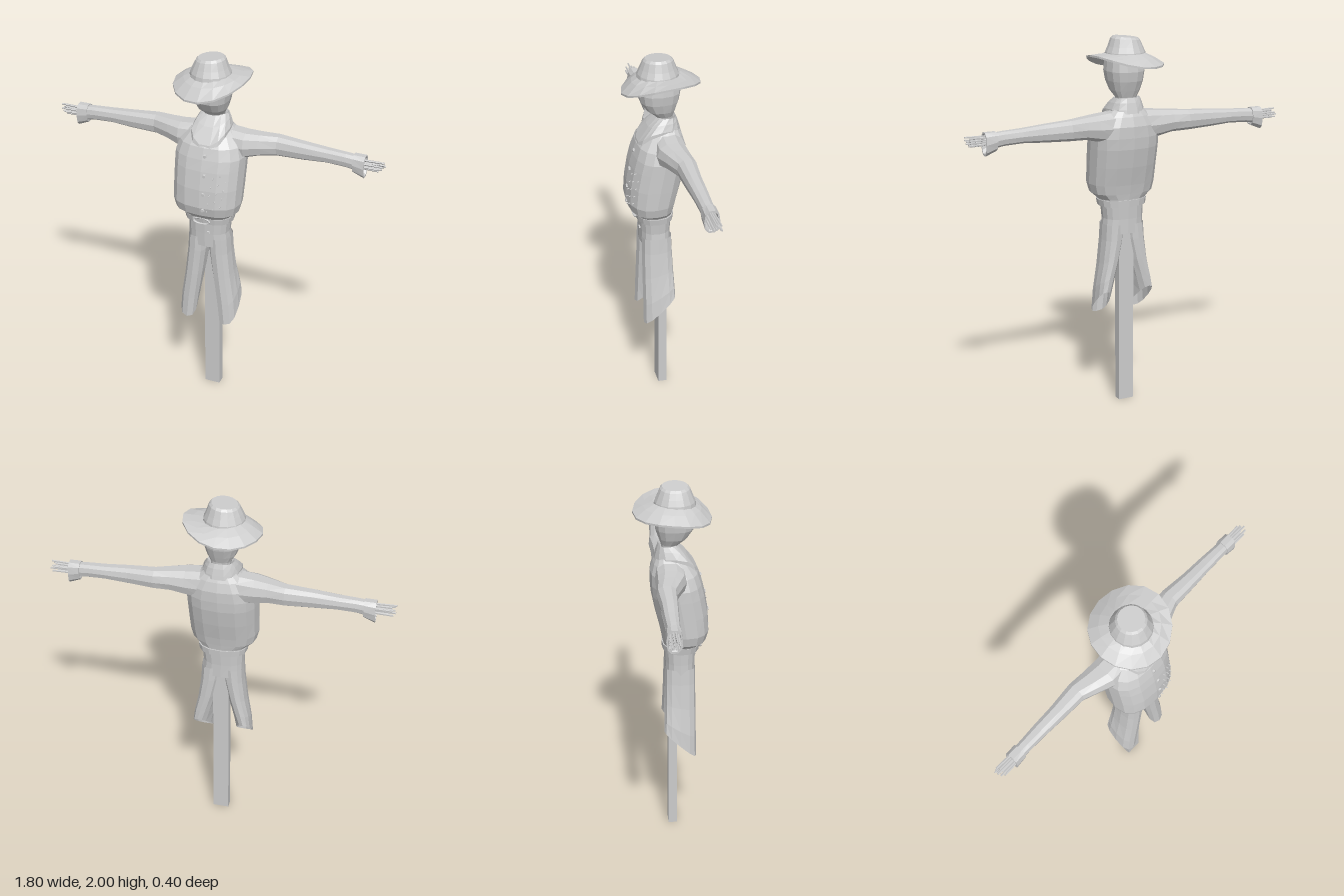
import * as THREE from 'three';

const cloth = new THREE.MeshStandardMaterial({ color: 0xcccccc, flatShading: true, side: THREE.DoubleSide });
cloth.name = 'pale grey';

const V = (x, y, z) => new THREE.Vector3(x, y, z);
const POWER = 0.8; // rounded-box feel of the cross-sections
const bend = (t) => Math.sign(t) * Math.abs(t) ** POWER;

// closed ring of n points, each given by a rule of the angle
const ring = (n, rule) => Array.from({ length: n }, (_, i) => rule((i / n) * Math.PI * 2));

// horizontal rounded ring between the given limits
const flatRing = (n, [y, x0, x1, z0, z1], offset = () => 0) => ring(n, (a) => {
  const x = (x0 + x1) / 2 + ((x1 - x0) / 2) * bend(Math.cos(a));
  const z = (z0 + z1) / 2 + ((z1 - z0) / 2) * bend(Math.sin(a));
  return V(x, y + offset(a, z), z);
});

// all points of a ring drawn to its middle, used as a cap
function cap(r) {
  const c = r.reduce((s, p) => s.add(p), V(0, 0, 0)).divideScalar(r.length);
  return r.map(() => c.clone());
}

// skin over a series of rings
function loft(name, rings, flip = false) {
  const n = rings[0].length, index = [];
  for (let j = 0; j < rings.length - 1; j++) {
    for (let i = 0; i < n; i++) {
      const a = j * n + i, b = j * n + ((i + 1) % n), c = a + n, d = b + n;
      if (flip) index.push(a, b, c, b, d, c);
      else index.push(a, c, b, b, c, d);
    }
  }
  const g = new THREE.BufferGeometry().setFromPoints(rings.flat());
  g.setIndex(index);
  return mesh(name, g.toNonIndexed());
}

function mesh(name, geometry) {
  if (!geometry.attributes.normal) geometry.computeVertexNormals();
  const m = new THREE.Mesh(geometry, cloth);
  m.name = name;
  return m;
}

// thin stick from one point to another
function stick(name, from, to, r) {
  const d = to.clone().sub(from);
  const m = mesh(name, new THREE.CylinderGeometry(r * 0.7, r, d.length(), 5));
  m.position.copy(from).addScaledVector(d, 0.5);
  m.quaternion.setFromUnitVectors(V(0, 1, 0), d.normalize());
  return m;
}

// shirt rows: y, x range, z range
const SHIRT = [
  [1.10, -0.115, 0.115, -0.05, 0.12], [1.14, -0.135, 0.13, -0.055, 0.145],
  [1.17, -0.175, 0.165, -0.06, 0.175], [1.22, -0.187, 0.178, -0.07, 0.188],
  [1.32, -0.188, 0.182, -0.095, 0.182], [1.42, -0.19, 0.185, -0.115, 0.165],
  [1.48, -0.19, 0.187, -0.12, 0.15], [1.54, -0.17, 0.17, -0.12, 0.13],
  [1.59, -0.13, 0.13, -0.105, 0.09], [1.62, -0.095, 0.095, -0.09, 0.05],
  [1.65, -0.07, 0.07, -0.08, 0.025],
];

// depth of the shirt front at x, y
function shirtFront(x, y) {
  let j = 0;
  while (SHIRT[j + 1][0] < y) j++;
  const t = (y - SHIRT[j][0]) / (SHIRT[j + 1][0] - SHIRT[j][0]);
  const [, x0, x1, z0, z1] = SHIRT[j].map((v, k) => v + (SHIRT[j + 1][k] - v) * t);
  const u = Math.abs((x - (x0 + x1) / 2) / ((x1 - x0) / 2));
  return (z0 + z1) / 2 + ((z1 - z0) / 2) * (1 - u ** (2 / POWER)) ** (POWER / 2);
}

function makeHat() {
  const hat = new THREE.Group();
  hat.name = 'hat';
  // wavy brim: low at the front, raised on one side
  const brimRing = (r, sag, lift) => ring(16, (a) => {
    const c = Math.cos(a), s = Math.sin(a);
    const wave = -0.045 + 0.03 * c - 0.02 * s + 0.02 * Math.cos(2 * a);
    return V(-0.005 + r * c, 1.905 + sag * wave + lift, -0.003 + r * s);
  });
  hat.add(loft('brim', [
    brimRing(0.09, 0, -0.01), brimRing(0.15, 0.4, -0.008), brimRing(0.202, 1, -0.008),
    brimRing(0.202, 1, 0.002), brimRing(0.15, 0.4, 0.004), brimRing(0.1, 0, 0.006),
  ]));
  const crown = [[1.895, 0.108], [1.915, 0.105], [1.945, 0.092], [1.982, 0.077], [1.993, 0.066]].map(([y, r]) =>
    ring(16, (a) => V(-0.01 + r * Math.cos(a), y + (y > 1.95 ? 0.006 * Math.cos(a) : 0), 0.01 + r * Math.sin(a))));
  hat.add(loft('crown', [...crown, cap(crown.at(-1))]));
  return hat;
}

function makeArm(s) {
  const arm = new THREE.Group();
  arm.name = s > 0 ? 'leftArm' : 'rightArm';
  const side = ([x, y0, y1, z0, z1], n = 10) => ring(n, (a) => V(s * x,
    (y0 + y1) / 2 + ((y1 - y0) / 2) * bend(Math.sin(a)),
    (z0 + z1) / 2 + ((z1 - z0) / 2) * bend(Math.cos(a))));
  const sleeve = [
    [0.08, 1.45, 1.615, -0.1, 0.06], [0.18, 1.465, 1.605, -0.1, 0.06], [0.25, 1.482, 1.6, -0.1, 0.035],
    [0.34, 1.487, 1.595, -0.105, 0], [0.48, 1.492, 1.585, -0.092, -0.005], [0.6, 1.5, 1.575, -0.088, -0.01],
    [0.7, 1.495, 1.57, -0.082, -0.013], [0.76, 1.485, 1.565, -0.08, -0.015],
  ].map((r) => side(r));
  arm.add(loft('sleeve', sleeve, s < 0));
  // cuff with a drooping lower corner
  const cuff = [
    [0.74, 1.482, 1.568, -0.083, -0.012], [0.74, 1.475, 1.573, -0.088, -0.009],
    [0.8, 1.45, 1.573, -0.088, -0.009], [0.8, 1.46, 1.565, -0.08, -0.016], [0.77, 1.48, 1.56, -0.076, -0.02],
  ].map((r) => side(r));
  arm.add(loft('cuff', [...cuff, cap(cuff.at(-1))], s < 0));
  // bundle of straw for a hand
  for (let i = 0; i < 14; i++) {
    const a = i * 2.4, r = 0.024 * Math.sqrt(i / 13);
    const y = 1.527 + r * Math.sin(a), z = -0.047 + r * Math.cos(a);
    arm.add(stick('straw', V(s * 0.75, y, z),
      V(s * (0.865 + 0.035 * ((i * 5) % 7) / 6), y + 0.2 * (y - 1.527), z + 0.2 * (z + 0.047)), 0.007));
  }
  return arm;
}

// trouser leg: hem runs up toward the back, inner edge spreads at the back
function makeLeg(s) {
  const rows = [[0, 0, 0.113, 1.0], [0.2, 0.004, 0.118, 0.91], [0.5, 0.022, 0.133, 0.76],
    [0.8, 0.042, 0.155, 0.6], [1, 0.056, 0.163, 0.48]];
  const rings = rows.map(([t, inner, outer, y]) => {
    const r = flatRing(12, [y, inner, outer, -0.045 - 0.007 * t, 0.115 + 0.005 * t],
      (a, z) => t * t * 0.16 * (0.12 - z) / 0.17);
    for (const p of r) {
      const back = (0.12 - p.z) / 0.17;
      p.x += 0.035 * t * back * (outer - p.x) / (outer - inner);
      p.x *= s;
    }
    return r;
  }).reverse();
  return loft(s > 0 ? 'leftLeg' : 'rightLeg', rings, s < 0);
}

export function createModel() {
  const model = new THREE.Group();
  model.name = 'scarecrow';

  // wooden post
  const post = mesh('post', new THREE.BoxGeometry(0.086, 1.2, 0.048));
  post.position.set(0.001, 0.6, -0.002);
  model.add(post);

  // sack head
  const head = [
    [1.66, -0.05, 0.05, -0.06, 0.015], [1.685, -0.056, 0.055, -0.062, 0.03], [1.72, -0.078, 0.075, -0.075, 0.075],
    [1.77, -0.095, 0.09, -0.092, 0.108], [1.82, -0.102, 0.098, -0.1, 0.117], [1.87, -0.098, 0.094, -0.095, 0.11],
    [1.91, -0.08, 0.075, -0.07, 0.08],
  ].map((r) => flatRing(14, r));
  model.add(loft('head', [cap(head[0]), ...head, cap(head.at(-1))]));
  model.add(makeHat());

  // shirt and collar
  const shirt = SHIRT.map((r) => flatRing(16, r));
  model.add(loft('shirt', [...shirt, cap(shirt.at(-1))]));
  const drop = (d) => (a) => -d * Math.max(0, Math.sin(a)) ** 2;
  model.add(loft('collar', [
    flatRing(14, [1.605, -0.1, 0.1, -0.1, 0.135], drop(0.09)),
    flatRing(14, [1.625, -0.1, 0.1, -0.095, 0.125], drop(0.075)),
    flatRing(14, [1.66, -0.085, 0.085, -0.085, 0.07], drop(0.03)),
    flatRing(14, [1.685, -0.07, 0.07, -0.075, 0.02], drop(0)),
    flatRing(14, [1.665, -0.055, 0.055, -0.062, 0.01], drop(0)),
  ]));

  // trousers and rope belt
  model.add(loft('hips', [
    [0.95, -0.115, 0.113, -0.045, 0.115], [1.03, -0.114, 0.106, -0.045, 0.117], [1.13, -0.118, 0.116, -0.05, 0.122],
  ].map((r) => flatRing(16, r))));
  model.add(loft('belt', [
    [1.1, -0.122, 0.12, -0.053, 0.127], [1.1, -0.13, 0.128, -0.058, 0.137],
    [1.135, -0.136, 0.134, -0.06, 0.143], [1.135, -0.122, 0.12, -0.053, 0.13],
  ].map((r) => flatRing(16, r))));
  const knot = mesh('beltLoop', new THREE.TorusGeometry(0.045, 0.006, 5, 14));
  knot.scale.set(1, 0.35, 1);
  knot.position.set(-0.01, 1.12, 0.142);
  model.add(knot);

  for (const s of [1, -1]) model.add(makeArm(s), makeLeg(s));

  // buttons down the front
  for (const [x, y, z] of [[0.012, 1.5], [0.018, 1.4], [0.018, 1.3], [0.015, 1.21], [0.018, 1.04, 0.117]]) {
    const front = z ?? shirtFront(x, y);
    model.add(stick('button', V(x, y, front - 0.008), V(x, y, front + 0.006), 0.013));
  }
  // straw ends poking through the shirt
  for (let i = 0; i < 14; i++) {
    const x = 0.035 + 0.09 * ((i * 5) % 14) / 13, y = 1.21 + 0.2 * i / 13, z = shirtFront(x, y);
    model.add(stick('strawEnd', V(x, y, z - 0.01), V(x + 0.004, y - 0.003, z + 0.009), 0.003));
  }
  return model;
}
